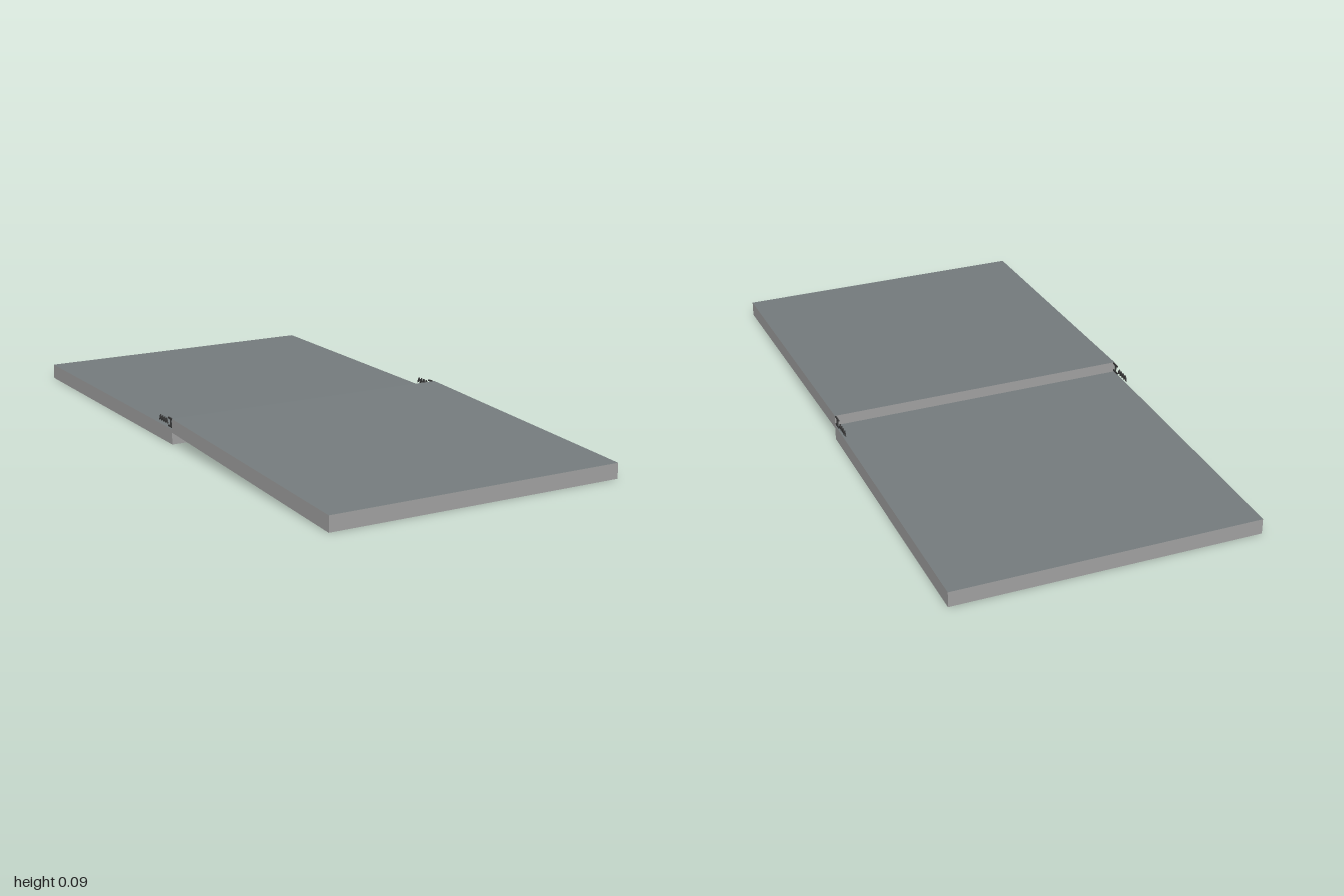
import * as THREE from 'three';

const deck = new THREE.MeshStandardMaterial({ color: 0x747b7d, side: THREE.DoubleSide });
deck.name = 'slate deck';
const wall = new THREE.MeshStandardMaterial({ color: 0xa0a0a0, side: THREE.DoubleSide });
wall.name = 'light grey';
const iron = new THREE.MeshStandardMaterial({ color: 0x3a3a3a });
iron.name = 'dark iron';

// Slab from the joint (z = 0.01) to zEnd, lifted by `rise` at the joint; a hollow slab has no underside.
function slab(name, zEnd, height, jointHeight, rise, hollow) {
  const joint = 0.01;
  const geo = new THREE.BoxGeometry(1, 1, Math.abs(zEnd - joint));
  geo.translate(0, 0.5, (zEnd + joint) / 2);
  const p = geo.attributes.position;
  for (let i = 0; i < p.count; i++) {
    const t = (zEnd - p.getZ(i)) / (zEnd - joint);
    p.setY(i, rise * t + p.getY(i) * THREE.MathUtils.lerp(height, jointHeight, t));
  }
  const order = hollow ? [2, 0, 1, 4, 5] : [2, 0, 1, 3, 4, 5];
  const index = Array.from(geo.index.array);
  geo.setIndex(order.flatMap(f => index.slice(f * 6, f * 6 + 6)));
  geo.clearGroups();
  geo.addGroup(0, 6, 0);
  geo.addGroup(6, (order.length - 1) * 6, 1);
  geo.computeVertexNormals();
  const mesh = new THREE.Mesh(geo, [deck, wall]);
  mesh.name = name;
  return mesh;
}

// Thin bar in the side plane
function bar(parent, name, y, z, h, d, angle = 0) {
  const mesh = new THREE.Mesh(new THREE.BoxGeometry(0.004, h, d), iron);
  mesh.name = name;
  mesh.position.set(0, y, z);
  mesh.rotation.x = angle;
  parent.add(mesh);
}

// Flanged post with a small spring strip behind it
function hinge(x) {
  const g = new THREE.Group();
  g.name = x > 0 ? 'leftHinge' : 'rightHinge';
  bar(g, 'postTop', 0.082, -0.005, 0.005, 0.032);
  bar(g, 'post', 0.069, -0.005, 0.026, 0.006);
  bar(g, 'postFoot', 0.056, -0.005, 0.005, 0.032);
  const n = 8, step = 0.0075;
  for (let i = 0; i < n; i++) {
    const dir = i % 2 ? 1 : -1;
    bar(g, 'springBar', 0.069, -0.032 - i * step, 0.019, 0.003, dir * 0.4);
  }
  g.position.x = x;
  return g;
}

export function createModel() {
  const model = new THREE.Group();
  model.name = 'hingedRamp';
  model.add(slab('backPlatform', -1, 0.05, 0.05, 0, false));
  model.add(slab('frontRamp', 1, 0.05, 0.046, 0.039, true));
  for (const x of [0.497, -0.497]) model.add(hinge(x));
  return model;
}
